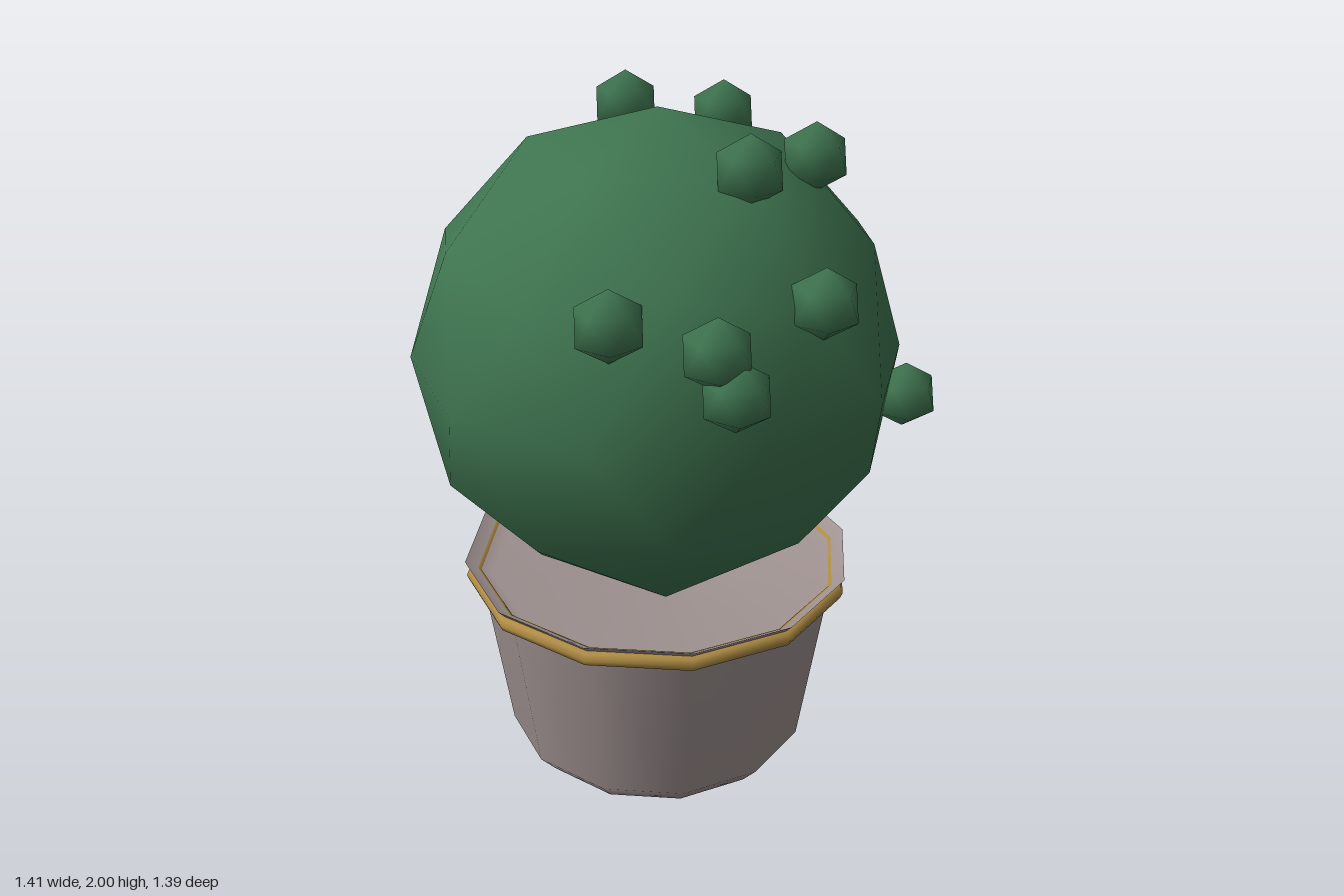
import * as THREE from 'three';

const material = (name, color) => {
  const m = new THREE.MeshStandardMaterial({ color });
  m.name = name;
  return m;
};

// Icosphere standing on one of its corners, smooth shaded
function ball(radius, detail) {
  const g = new THREE.IcosahedronGeometry(radius, detail);
  g.rotateZ(-Math.atan2(2, 1 + Math.sqrt(5)));
  const p = g.attributes.position, v = new THREE.Vector3();
  for (let i = 0; i < p.count; i++) {
    v.fromBufferAttribute(p, i).normalize();
    g.attributes.normal.setXYZ(i, v.x, v.y, v.z);
  }
  return g;
}

function lathe(points, sides) {
  return new THREE.LatheGeometry(points.map(([x, y]) => new THREE.Vector2(x, y)), sides);
}

export function createModel() {
  const model = new THREE.Group();
  model.name = 'pottedCactus';
  const green = material('cactus green', 0x3f7550);
  const clay = material('grey clay', 0xa09392);
  const gold = material('gold', 0xb08d45);
  const offset = -0.007;
  const sides = 12;

  const add = (name, geometry, mat, x, y, z) => {
    const mesh = new THREE.Mesh(geometry, mat);
    mesh.name = name;
    mesh.position.set(x, y, z);
    model.add(mesh);
    return mesh;
  };

  // Pot with bevelled foot and flared rim
  add('pot', lathe([[0, 0], [0.405, 0], [0.456, 0.06], [0.53, 0.565], [0.55, 0.605], [0.578, 0.635]], sides),
    clay, offset, 0, 0);
  // Shallow bowl inside the rim
  add('potInside', lathe([[0.578, 0.635], [0.5, 0.585], [0, 0.55]], sides), clay, offset, 0, 0);
  // Gold band under the rim
  const band = new THREE.TorusGeometry(0.55, 0.025, 8, sides);
  band.rotateX(Math.PI / 2);
  add('goldBand', band, gold, offset, 0.59, 0);

  // Round cactus body
  add('cactusBody', ball(0.693, 1), green, offset, 1.273, 0);

  // Small buds on the body
  const buds = [
    [-0.25, 1.59, -0.59], [-0.62, 1.35, -0.35], [-0.615, 1.54, -0.24], [0.52, 1.19, -0.455],
    [-0.135, 1.87, -0.35], [0.285, 1.84, -0.3], [-0.285, 1.905, -0.115], [0.363, 1.875, 0.01],
    [0.62, 1.595, -0.012], [0.62, 1.43, 0.275], [0.573, 1.53, 0.297], [0.388, 1.59, 0.478],
  ];
  const budGeometry = ball(0.095, 0);
  buds.forEach((p, i) => add('bud' + (i + 1), budGeometry, green, ...p));

  return model;
}
